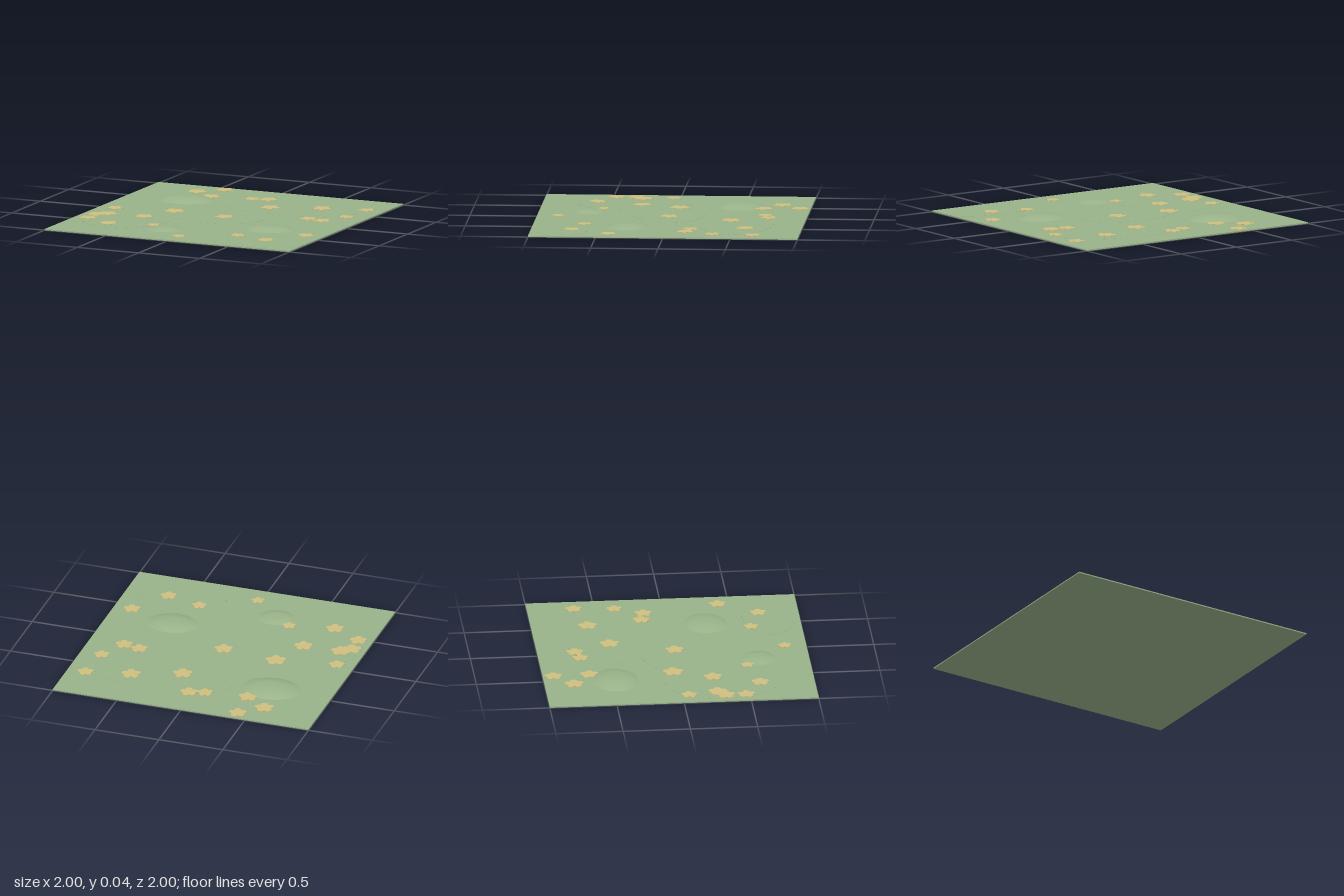
import * as THREE from 'three';

const GROUND_TOP = 0.009;

export function createModel() {
  const model = new THREE.Group();
  model.name = 'meadow';
  const grass = new THREE.MeshStandardMaterial({ color: 0x9ab38a });
  grass.name = 'grass green';
  const straw = new THREE.MeshStandardMaterial({ color: 0xcfc080 });
  straw.name = 'straw yellow';

  const add = (name, geometry, material, x, y, z, sx = 1, sy = 1, sz = 1) => {
    const mesh = new THREE.Mesh(geometry, material);
    mesh.name = name;
    mesh.position.set(x, y, z);
    mesh.scale.set(sx, sy, sz);
    model.add(mesh);
  };

  // Square ground plate
  add('ground', new THREE.BoxGeometry(2, GROUND_TOP, 2), grass, 0, GROUND_TOP / 2, 0);

  // Barely raised oval turf patches: x, z, radius x, radius z
  const disc = new THREE.CylinderGeometry(1, 1, 0.002, 40);
  [
    [0.3, -0.5, 0.55, 0.275],
    [-0.62, 0.32, 0.34, 0.43],
    [-0.05, 0.02, 0.37, 0.26],
    [0.62, 0.77, 0.38, 0.2],
  ].forEach(([x, z, rx, rz]) => add('turfPatch', disc, grass, x, GROUND_TOP, z, rx, 1, rz));

  // Low rounded mounds: x, z, radius x, radius z, height
  const profile = [[1, 0], [0.72, 0.56], [0.42, 0.93], [0.2, 0.98], [0, 1]]
    .map(([r, y]) => new THREE.Vector2(r, y));
  const mound = new THREE.LatheGeometry(profile, 14);
  [
    [-0.53, -0.47, 0.225, 0.178, 0.034],
    [0.5, 0.295, 0.193, 0.16, 0.028],
    [-0.2, 0.627, 0.14, 0.125, 0.02],
  ].forEach(([x, z, rx, rz, h]) => add('mound', mound, grass, x, GROUND_TOP, z, rx, h, rz));

  // Flat five-petalled flower with unit radius
  const outline = new THREE.Shape();
  for (let i = 0; i < 5; i++) {
    const a = (i * Math.PI * 2) / 5;
    outline.absarc(0.62 * Math.cos(a), 0.62 * Math.sin(a), 0.38, a - 1.9, a + 1.9, false);
  }
  const flower = new THREE.ExtrudeGeometry(outline, { depth: 0.005, bevelEnabled: false, curveSegments: 8 });
  flower.rotateX(-Math.PI / 2);

  // Scattered flowers: x, z, radius
  [
    [-0.42, -0.92, 0.068], [-0.58, -0.78, 0.073], [-0.41, -0.65, 0.073], [-0.085, -0.69, 0.06],
    [0.03, -0.72, 0.066], [0.17, -0.45, 0.074], [0.53, -0.58, 0.073], [0.86, -0.655, 0.062],
    [0.835, -0.355, 0.058], [0.605, -0.175, 0.064], [0.73, -0.147, 0.066], [-0.415, -0.03, 0.078],
    [0.01, 0.02, 0.07], [-0.865, 0.05, 0.06], [-0.535, 0.255, 0.07], [-0.82, 0.265, 0.072],
    [-0.89, 0.32, 0.072], [-0.89, 0.47, 0.066], [-0.665, 0.595, 0.068], [-0.33, 0.53, 0.05],
    [0.405, 0.625, 0.055], [0.67, 0.7, 0.062], [0.86, 0.415, 0.063], [0.02, 0.84, 0.05],
  ].forEach(([x, z, r]) => add('flower', flower, straw, x, GROUND_TOP, z, r, 1, r));

  return model;
}
